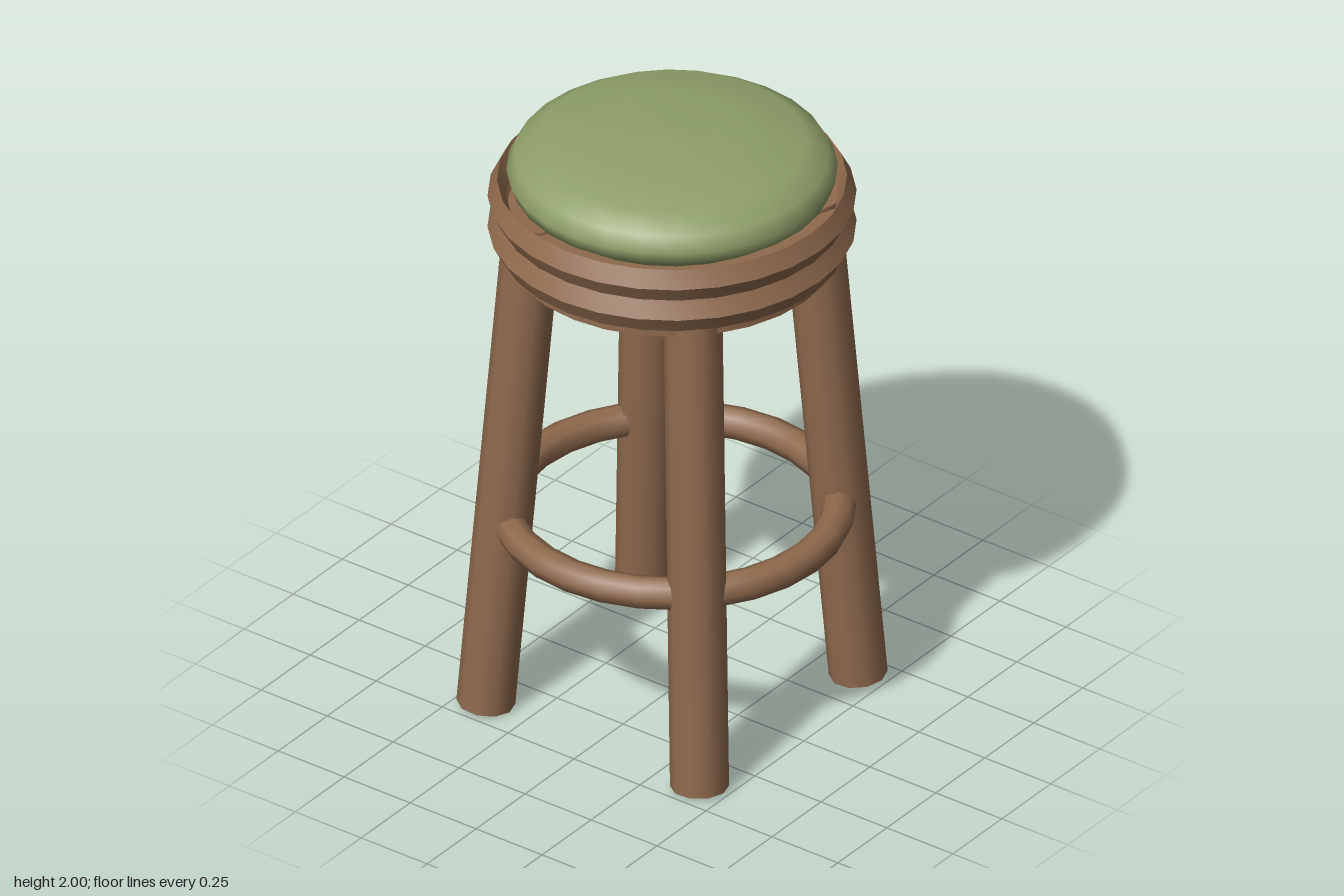
import * as THREE from 'three';
import { toCreasedNormals } from 'three/addons/utils/BufferGeometryUtils.js';

const SEGMENTS = 28;

export function createModel() {
  const wood = new THREE.MeshStandardMaterial({ color: 0x8f6a4d });
  wood.name = 'wood';
  const fabric = new THREE.MeshStandardMaterial({ color: 0x8f9f69 });
  fabric.name = 'greenFabric';

  const stool = new THREE.Group();
  stool.name = 'stool';
  const add = (name, geometry, material, y = 0) => {
    const mesh = new THREE.Mesh(geometry, material);
    mesh.name = name;
    mesh.position.y = y;
    stool.add(mesh);
    return mesh;
  };
  const lathe = (points) =>
    new THREE.LatheGeometry(points.map(([x, y]) => new THREE.Vector2(x, y)), SEGMENTS);

  // Domed cushion
  add('cushion', lathe([
    [0, 1.77], [0.42, 1.78], [0.49, 1.83], [0.505, 1.875], [0.48, 1.922],
    [0.41, 1.968], [0.23, 1.994], [0, 2],
  ]), fabric);

  // Seat base
  add('seatBase', new THREE.CylinderGeometry(0.505, 0.505, 0.14, SEGMENTS), wood, 1.65);

  // Two diamond-section rims around the seat
  for (const [name, y] of [['lowerRim', 1.673], ['upperRim', 1.782]]) {
    const rim = lathe([[0.505, 0], [0.533, -0.055], [0.562, 0], [0.533, 0.055], [0.505, 0]]);
    add(name, toCreasedNormals(rim, 0.6), wood, y);
  }

  // Four splayed legs
  const up = new THREE.Vector3(0, 1, 0);
  for (const [sx, sz, name] of [
    [1, 1, 'frontLeftLeg'], [-1, 1, 'frontRightLeg'],
    [1, -1, 'backLeftLeg'], [-1, -1, 'backRightLeg'],
  ]) {
    const foot = new THREE.Vector3(0.405 * sx, 0.008, 0.405 * sz);
    const top = new THREE.Vector3(0.302 * sx, 1.73, 0.302 * sz);
    const axis = top.clone().sub(foot);
    const leg = add(name, new THREE.CylinderGeometry(0.09, 0.09, axis.length(), 10), wood);
    leg.position.copy(foot).add(top).multiplyScalar(0.5);
    leg.quaternion.setFromUnitVectors(up, axis.normalize());
  }

  // Footrest ring
  const ring = new THREE.TorusGeometry(0.51, 0.052, 8, SEGMENTS);
  ring.rotateX(Math.PI / 2);
  add('footRing', ring, wood, 0.662);

  return stool;
}
